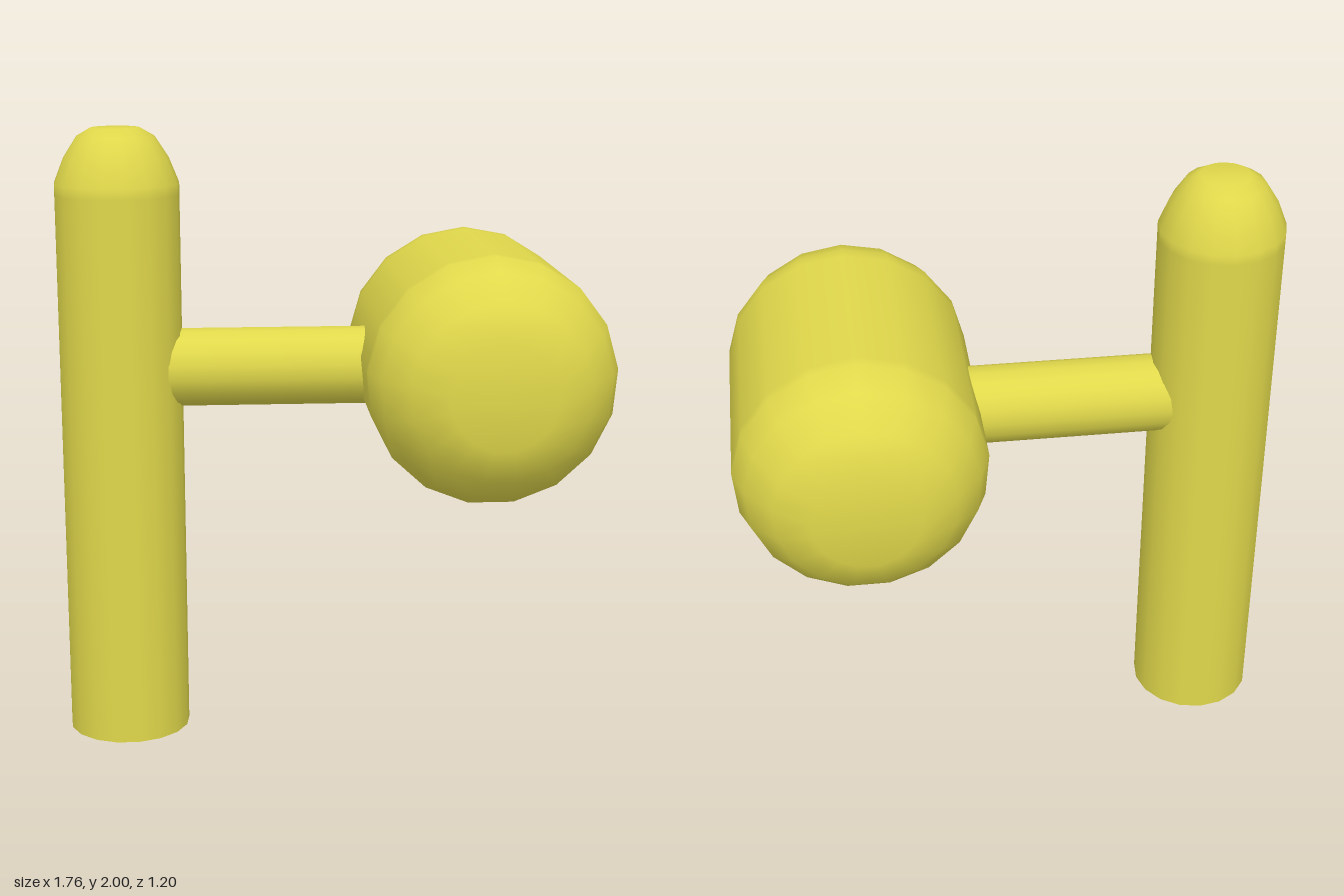
import * as THREE from 'three';

const SIDES = 17;

export function createModel() {
  const group = new THREE.Group();
  const material = new THREE.MeshStandardMaterial({ color: 0xe0d84b, side: THREE.DoubleSide });

  const add = (name, geometry, x, y, z) => {
    const mesh = new THREE.Mesh(geometry, material);
    mesh.name = name;
    mesh.position.set(x, y, z);
    group.add(mesh);
  };
  const lathe = (profile, phiStart = 0) =>
    new THREE.LatheGeometry(profile.map(([r, y]) => new THREE.Vector2(r, y)), SIDES, phiStart);

  // Upright post: open at the foot, rounded at the top
  add('post', lathe([
    [0.2, 0], [0.2, 1.79], [0.2, 1.825], [0.168, 1.905], [0.124, 1.973], [0.078, 2], [0, 2],
  ], Math.PI), -0.683, 0, 0);

  // Horizontal arm joining the post to the drum
  const arm = new THREE.CylinderGeometry(0.127, 0.127, 1.16, SIDES, 1, true, Math.PI);
  arm.rotateZ(Math.PI / 2);
  add('arm', arm, -0.1, 1.225, 0);

  // Large drum lying front to back, with the same rounded end mirrored
  const end = [[0.395, 0.31], [0.395, 0.355], [0.36, 0.45], [0.28, 0.543], [0.167, 0.6], [0, 0.6]];
  const mirrored = end.map(([r, y]) => [r, -y]).reverse();
  add('drum', lathe([...mirrored, ...end]).rotateX(-Math.PI / 2), 0.483, 1.235, 0);

  return group;
}
